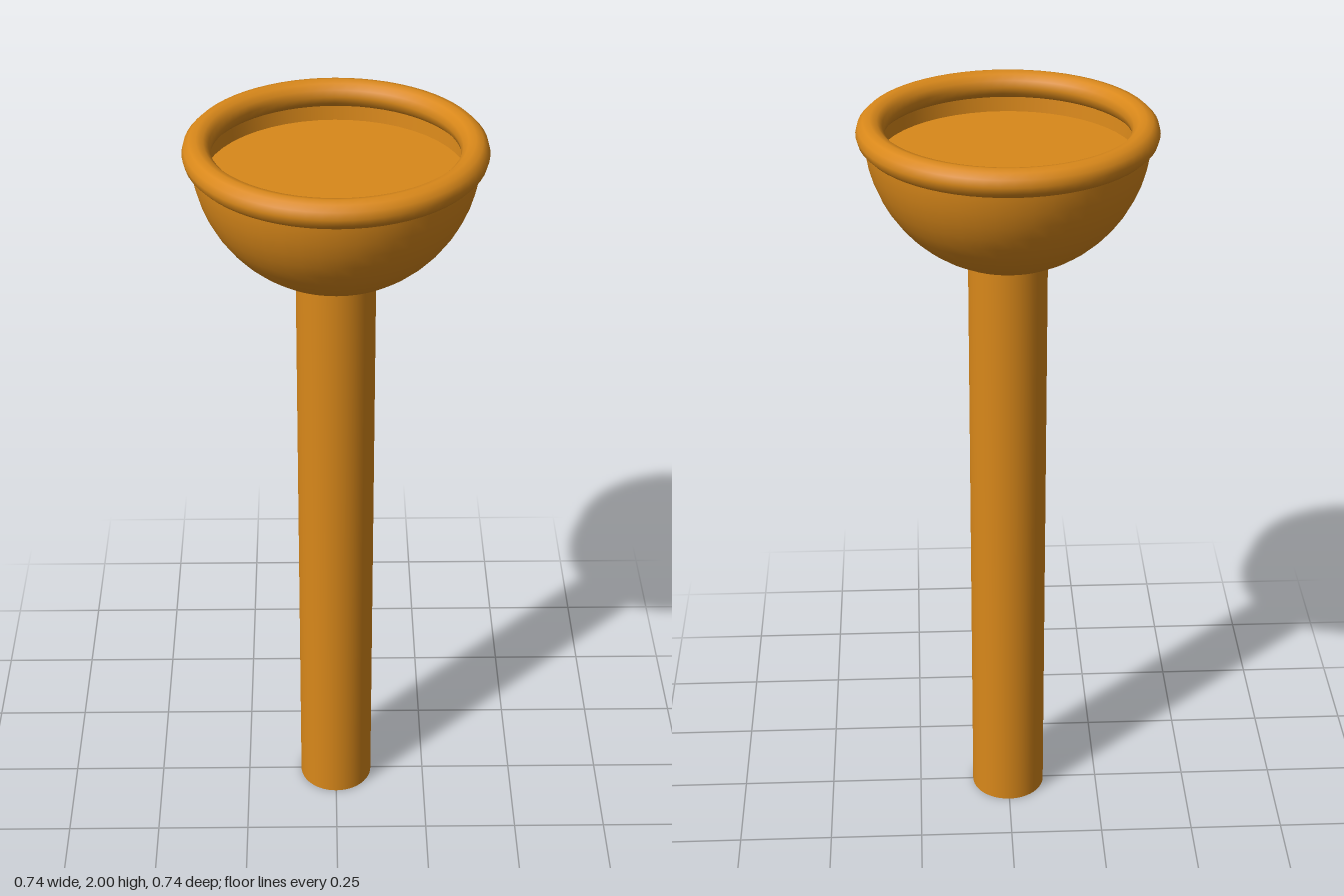
import * as THREE from 'three';

export function createModel() {
  const model = new THREE.Group();
  const material = new THREE.MeshStandardMaterial({ color: 0xd9881a });
  const rimY = 1.965, bowlR = 0.35, floorY = 1.895, floorR = 0.32;

  const add = (name, geometry, y = 0) => {
    const mesh = new THREE.Mesh(geometry, material);
    mesh.name = name;
    mesh.position.y = y;
    model.add(mesh);
    return mesh;
  };

  // Straight round handle, ending inside the bowl
  add('handle', new THREE.CylinderGeometry(0.1, 0.1, 1.64, 48), 0.82);

  // Hemispherical outer shell
  const shell = [];
  for (let i = 0; i <= 14; i++) {
    const a = (i / 14) * Math.PI / 2;
    shell.push(new THREE.Vector2(bowlR * Math.sin(a), rimY - bowlR * Math.cos(a)));
  }
  add('bowlShell', new THREE.LatheGeometry(shell, 48));

  // Shallow inner wall, facing inward, and the flat floor
  add('innerWall', new THREE.LatheGeometry([
    new THREE.Vector2(0.326, rimY),
    new THREE.Vector2(floorR, floorY),
  ], 48));
  add('bowlFloor', new THREE.CircleGeometry(floorR, 48).rotateX(-Math.PI / 2), floorY);

  // Rounded rim
  add('rim', new THREE.TorusGeometry(0.334, 0.035, 12, 64).rotateX(Math.PI / 2), rimY);

  return model;
}
